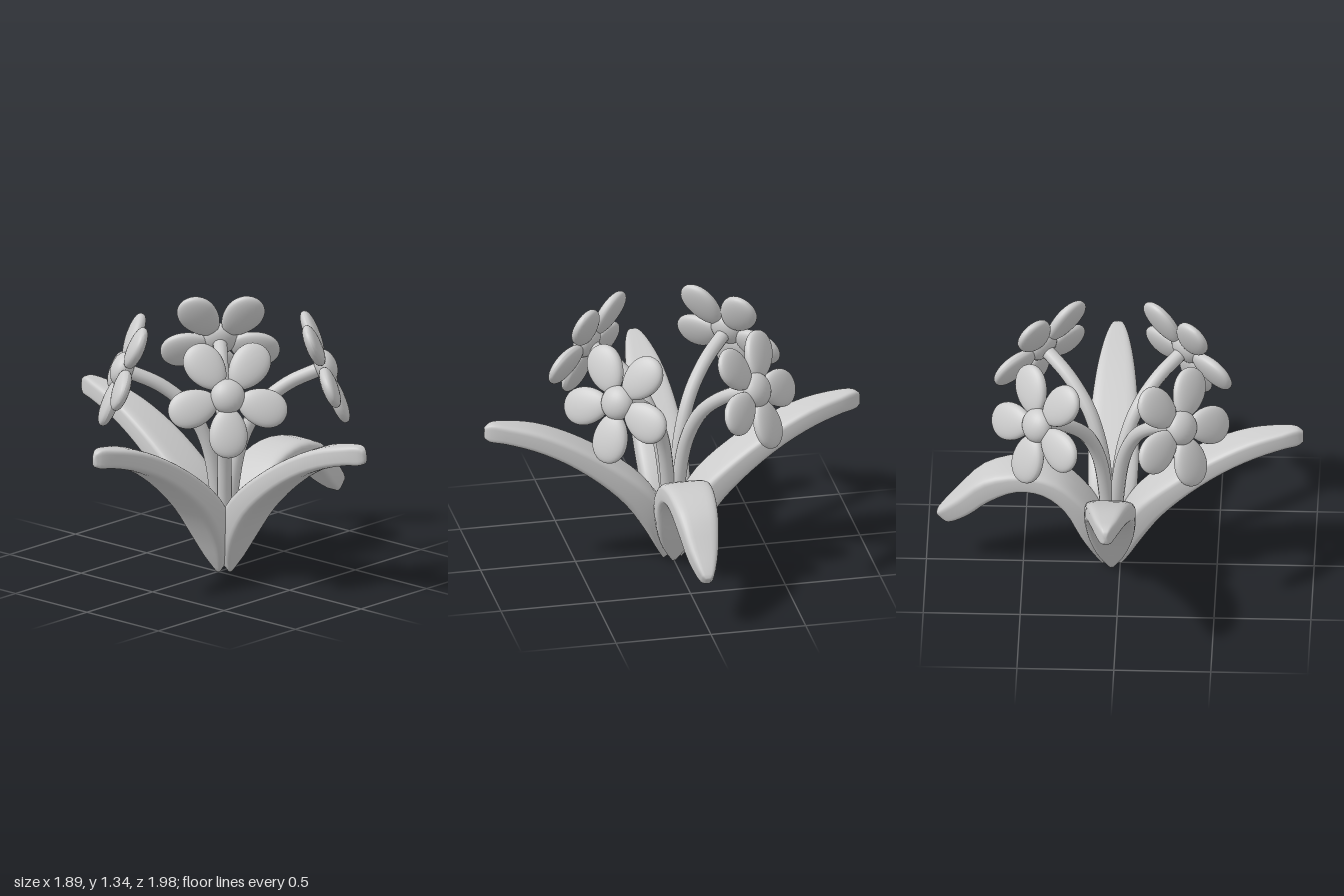
import * as THREE from 'three';

const grey = new THREE.MeshStandardMaterial({ color: 0xcccccc });
grey.name = 'plain grey';

// Leaf stations: under r, under y, upper r, upper y, half width
const ROOT = [
  [0.05, 0.0, 0.0, 0.04, 0.015],
  [0.095, 0.08, 0.005, 0.16, 0.068],
  [0.16, 0.2, 0.045, 0.3, 0.11],
];
const ARCHED = [
  ...ROOT,
  [0.265, 0.357, 0.14, 0.442, 0.13],
  [0.41, 0.5, 0.315, 0.592, 0.13],
  [0.58, 0.622, 0.52, 0.722, 0.115],
  [0.74, 0.7, 0.71, 0.808, 0.091],
  [0.89, 0.745, 0.88, 0.848, 0.058],
  [0.965, 0.757, 0.955, 0.855, 0.032],
  [0.99, 0.775, 0.988, 0.835, 0.012],
];
const DROOPING = [
  ...ROOT,
  [0.25, 0.38, 0.145, 0.442, 0.13],
  [0.36, 0.47, 0.28, 0.56, 0.13],
  [0.49, 0.482, 0.46, 0.603, 0.122],
  [0.63, 0.408, 0.66, 0.555, 0.105],
  [0.74, 0.308, 0.8, 0.42, 0.076],
  [0.84, 0.245, 0.895, 0.315, 0.034],
  [0.87, 0.25, 0.905, 0.29, 0.012],
];

const soft = (v, power) => Math.sign(v) * Math.pow(Math.abs(v), power);

// Thick strap with a rounded-box cross-section, running out along +x
function leafGeometry(stations) {
  const under = new THREE.CatmullRomCurve3(stations.map((s) => new THREE.Vector3(s[0], s[1], s[4])));
  const upper = new THREE.CatmullRomCurve3(stations.map((s) => new THREE.Vector3(s[2], s[3], s[4])));
  const N = (stations.length - 1) * 3, M = 32;
  const pos = [], idx = [];
  for (let i = 0; i <= N; i++) {
    const a = under.getPoint(i / N), b = upper.getPoint(i / N);
    for (let j = 0; j < M; j++) {
      const t = (j / M) * Math.PI * 2;
      const k = 0.5 + 0.5 * soft(Math.sin(t), 0.45);
      pos.push(a.x + (b.x - a.x) * k, Math.max(0, a.y + (b.y - a.y) * k), a.z * soft(Math.cos(t), 0.45));
    }
  }
  for (let i = 0; i < N; i++) {
    for (let j = 0; j < M; j++) {
      const a = i * M + j, b = i * M + ((j + 1) % M);
      idx.push(a, a + M, b, b, a + M, b + M);
    }
  }
  // End caps
  for (const [row, flip] of [[0, false], [N, true]]) {
    const a = under.getPoint(row / N), b = upper.getPoint(row / N);
    const c = pos.length / 3;
    pos.push((a.x + b.x) / 2, (a.y + b.y) / 2, 0);
    for (let j = 0; j < M; j++) {
      const p = row * M + j, q = row * M + ((j + 1) % M);
      if (flip) idx.push(c, q, p);
      else idx.push(c, p, q);
    }
  }
  const g = new THREE.BufferGeometry();
  g.setAttribute('position', new THREE.Float32BufferAttribute(pos, 3));
  g.setIndex(idx);
  g.computeVertexNormals();
  return g;
}

// Plump flattened petal pointing along +y, slightly narrower at the flower's heart
function petalGeometry() {
  const g = new THREE.SphereGeometry(1, 28, 18);
  const p = g.attributes.position;
  for (let i = 0; i < p.count; i++) {
    const y = p.getY(i);
    p.setXYZ(i, p.getX(i) * 0.099 * (1 + 0.14 * y), 0.188 + y * 0.132, soft(p.getZ(i), 0.8) * 0.041);
  }
  g.computeVertexNormals();
  return g;
}

function mesh(geometry, name) {
  const m = new THREE.Mesh(geometry, grey);
  m.name = name;
  return m;
}

export function createModel() {
  const root = new THREE.Group();
  root.name = 'flowerPlant';
  const plant = new THREE.Group();
  plant.name = 'plant';
  plant.position.x = 0.044;
  root.add(plant);

  // Four leaves in a cross, one of them drooping
  const arched = leafGeometry(ARCHED), drooping = leafGeometry(DROOPING);
  ['leftLeaf', 'backLeaf', 'rightLeaf', 'frontLeaf'].forEach((name, i) => {
    const leaf = mesh(i === 0 ? drooping : arched, name);
    leaf.rotation.y = (i * Math.PI) / 2;
    plant.add(leaf);
  });

  // Four stems with a five-petalled flower each, on the diagonals
  const petal = petalGeometry();
  const heart = new THREE.SphereGeometry(0.09, 24, 16);
  const path = [[0.012, 0.08], [0.03, 0.45], [0.065, 0.7], [0.13, 0.875], [0.23, 0.997], [0.355, 1.078]];
  for (const sx of [-1, 1]) {
    for (const sz of [-1, 1]) {
      const curve = new THREE.CatmullRomCurve3(path.map(([d, y]) => new THREE.Vector3(sx * d, y, sz * d)));
      plant.add(mesh(new THREE.TubeGeometry(curve, 32, 0.037, 12), 'stem'));

      const flower = new THREE.Group();
      flower.name = 'flower';
      flower.position.set(sx * 0.367, 1.085, sz * 0.363);
      flower.rotation.set(-0.38, Math.atan2(sx, sz), 0, 'YXZ');
      for (let k = 0; k < 5; k++) {
        const m = mesh(petal, 'petal');
        m.rotation.z = Math.PI + (k * Math.PI * 2) / 5;
        flower.add(m);
      }
      const centre = mesh(heart, 'flowerCentre');
      centre.scale.z = 0.65;
      centre.position.z = 0.01;
      flower.add(centre);
      plant.add(flower);
    }
  }
  return root;
}
